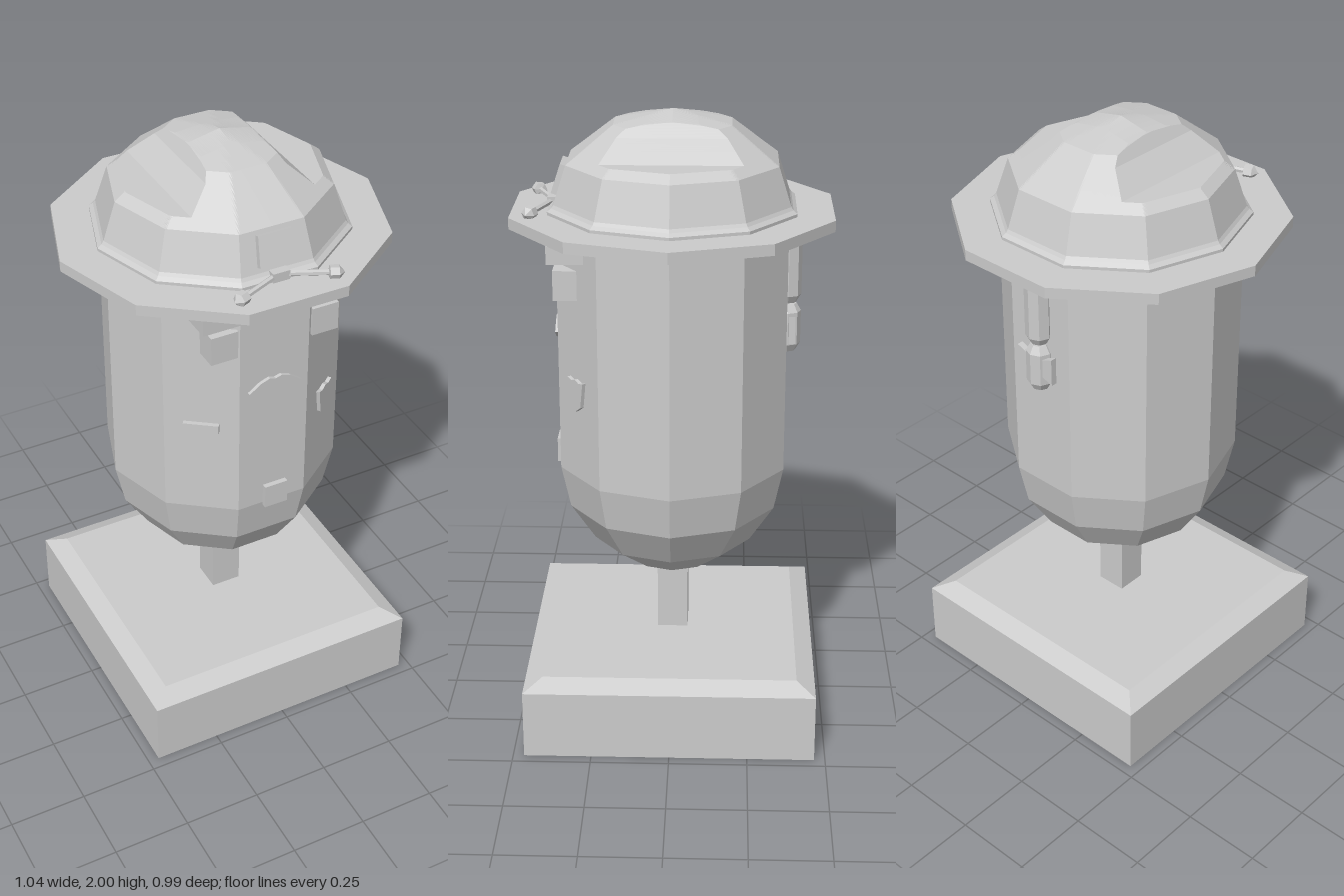
import * as THREE from 'three';

const mat = new THREE.MeshStandardMaterial({ color: 0xcccccc, flatShading: true });
const SIDES = 10;

export function createModel() {
  const model = new THREE.Group();

  const add = (name, geometry, x = 0, y = 0, z = 0, parent = model) => {
    const mesh = new THREE.Mesh(geometry, mat);
    mesh.name = name;
    mesh.position.set(x, y, z);
    parent.add(mesh);
    return mesh;
  };
  const box = (w, h, d) => new THREE.BoxGeometry(w, h, d);
  // Faceted solid of revolution with a corner on the x axis
  const turned = (profile, sides = SIDES) => new THREE.LatheGeometry(
    profile.map(([r, y]) => new THREE.Vector2(r, y)), sides, Math.PI / 2);
  const plate = (points, depth) => new THREE.ExtrudeGeometry(
    new THREE.Shape(points.map(([x, y]) => new THREE.Vector2(x, y))),
    { depth, bevelEnabled: false });

  // Stand: square base with a chamfered top, and a post
  add('base', box(0.93, 0.225, 0.93), 0, 0.1125, 0);
  const chamfer = new THREE.CylinderGeometry(0.405 * Math.SQRT2, 0.465 * Math.SQRT2, 0.03, 4);
  chamfer.rotateY(Math.PI / 4);
  add('baseChamfer', chamfer, 0, 0.24, 0);
  add('post', box(0.1, 0.3, 0.1), 0, 0.39, 0);

  // Body: ten-sided bullet
  add('body', turned([[0, 0.495], [0.14, 0.507], [0.265, 0.597], [0.345, 0.72],
    [0.375, 0.86], [0.375, 1.62], [0.365, 1.67]]));

  // Hat
  const brim = new THREE.CylinderGeometry(0.52, 0.52, 0.035, SIDES, 1, false, Math.PI / 2);
  add('hatBrim', brim, 0, 1.678, 0);
  add('hatCrown', turned([[0.4, 1.69], [0.4, 1.705], [0.387, 1.715], [0.38, 1.725], [0.34, 1.845]]));
  add('hatTop', pinchedTop());

  // Hat badge, cord and acorns
  const badge = add('hatBadge', plate([[-0.062, -0.047], [0.062, -0.047], [0.055, 0.047], [-0.055, 0.047]], 0.025),
    0, 1.785, 0.335);
  badge.rotation.x = -0.32;
  add('cordKnot', box(0.055, 0.03, 0.03), 0, 1.712, 0.373);
  for (const side of [-1, 1]) {
    const from = new THREE.Vector3(side * 0.02, 1.712, 0.378);
    const to = new THREE.Vector3(side * 0.15, 1.708, 0.43);
    const dir = to.clone().sub(from);
    const cord = new THREE.Group();
    cord.name = 'hatCord';
    cord.position.copy(from);
    cord.quaternion.setFromUnitVectors(new THREE.Vector3(0, 1, 0), dir.clone().normalize());
    const length = dir.length();
    add('cord', new THREE.CylinderGeometry(0.009, 0.009, length, 6), 0, length / 2, 0, cord);
    add('acorn', turned([[0, -0.02], [0.022, -0.015], [0.022, 0.012], [0, 0.03]], 6), 0, length, 0, cord);
    model.add(cord);
  }

  // Face
  for (const side of [-1, 1]) {
    add('eye', box(0.088, 0.094, 0.075), side * 0.168, 1.498, 0.323);
    add('eyebrow', box(0.15, 0.055, 0.115), side * 0.17, 1.602, 0.318);
  }
  add('mouth', plate([[-0.088, 1.308], [-0.05, 1.282], [-0.018, 1.27], [0.018, 1.27], [0.05, 1.282],
    [0.088, 1.308], [0.05, 1.335], [0.02, 1.346], [0, 1.34], [-0.02, 1.346], [-0.05, 1.335]], 0.025), 0, 0, 0.343);

  // Shield and name tag, each on a slanted front facet
  const shield = add('shieldBadge', plate([[0, -0.056], [0.03, -0.035], [0.036, 0], [0.044, 0.048],
    [0.022, 0.043], [0, 0.05], [-0.022, 0.043], [-0.044, 0.048], [-0.036, 0], [-0.03, -0.035]], 0.02),
    0.205, 1.147, 0.282);
  shield.rotation.y = Math.PI / 5;
  const tag = add('nameTag', box(0.11, 0.028, 0.02), -0.212, 1.18, 0.292);
  tag.rotation.y = -Math.PI / 5;
  add('buckle', box(0.078, 0.08, 0.07), 0.008, 0.89, 0.338);

  // Braid on the back, tied with a bow
  const segment = (low, high, r) => turned([[0, low], [r * 0.65, low], [r, low + 0.025],
    [r, high - 0.025], [r * 0.65, high], [0, high]], 8);
  add('braidUpper', segment(1.39, 1.66, 0.042), 0, 0, -0.362);
  add('braidLower', segment(1.23, 1.385, 0.042), 0, 0, -0.362);
  add('bow', plate([[-0.07, -0.045], [0, -0.018], [0.07, -0.045], [0.07, 0.045], [0, 0.018], [-0.07, 0.045]], 0.02),
    0, 1.315, -0.385);

  return model;
}

// Ten-sided dome pinched on both sides, built as cross-sections along x
function pinchedTop() {
  const R0 = 0.34, R1 = 0.19, Y0 = 1.845, Y1 = 1.96, Y2 = 2;
  const mix = THREE.MathUtils.mapLinear;
  const radiusAt = (y) => (y < Y1 ? mix(y, Y0, Y1, R0, R1) : mix(y, Y1, Y2, R1, 0));
  const domeAt = (r) => (r > R1 ? mix(r, R0, R1, Y0, Y1) : mix(r, R1, 0, Y1, Y2));
  // Height of the pinch at a distance from the middle
  const pinchAt = (x) => {
    if (x < 0.1) return Y2;
    if (x < 0.13) return mix(x, 0.1, 0.13, 1.985, 1.935);
    return x < 0.2 ? mix(x, 0.13, 0.2, 1.935, 1.87) : 1.87;
  };
  // Half width in z of a decagon of radius r at x
  const corners = [0, 1, 2].map((k) => [Math.cos(k * Math.PI / 5), Math.sin(k * Math.PI / 5)]);
  const halfWidth = (r, x) => {
    if (r < 1e-6 || x >= r) return 0;
    const t = x / r;
    if (t < corners[2][0]) return r * corners[2][1];
    const k = t > corners[1][0] ? 0 : 1;
    return r * mix(t, corners[k][0], corners[k + 1][0], corners[k][1], corners[k + 1][1]);
  };

  const stations = 136, low = 8, high = 3;
  const positions = [], index = [];
  const row = 2 * (low + high + 1);
  for (let i = 0; i <= stations; i++) {
    const x = mix(i, 0, stations, -R0, R0), ax = Math.abs(x);
    const top = Math.min(domeAt(ax), pinchAt(ax)), mid = Math.min(Y1, top);
    const half = [];
    for (let j = 0; j <= low + high; j++) {
      const y = j <= low ? mix(j, 0, low, Y0, mid) : mix(j, low, low + high, mid, top);
      half.push([y, halfWidth(radiusAt(y), ax)]);
    }
    half.forEach(([y, z]) => positions.push(x, y, z));
    half.reverse().forEach(([y, z]) => positions.push(x, y, -z));
  }
  for (let i = 0; i < stations; i++) {
    for (let j = 0; j < row - 1; j++) {
      const a = i * row + j, b = a + row;
      index.push(a, b, a + 1, b, b + 1, a + 1);
    }
  }
  const geometry = new THREE.BufferGeometry();
  geometry.setAttribute('position', new THREE.Float32BufferAttribute(positions, 3));
  geometry.setIndex(index);
  geometry.computeVertexNormals();
  return geometry;
}
